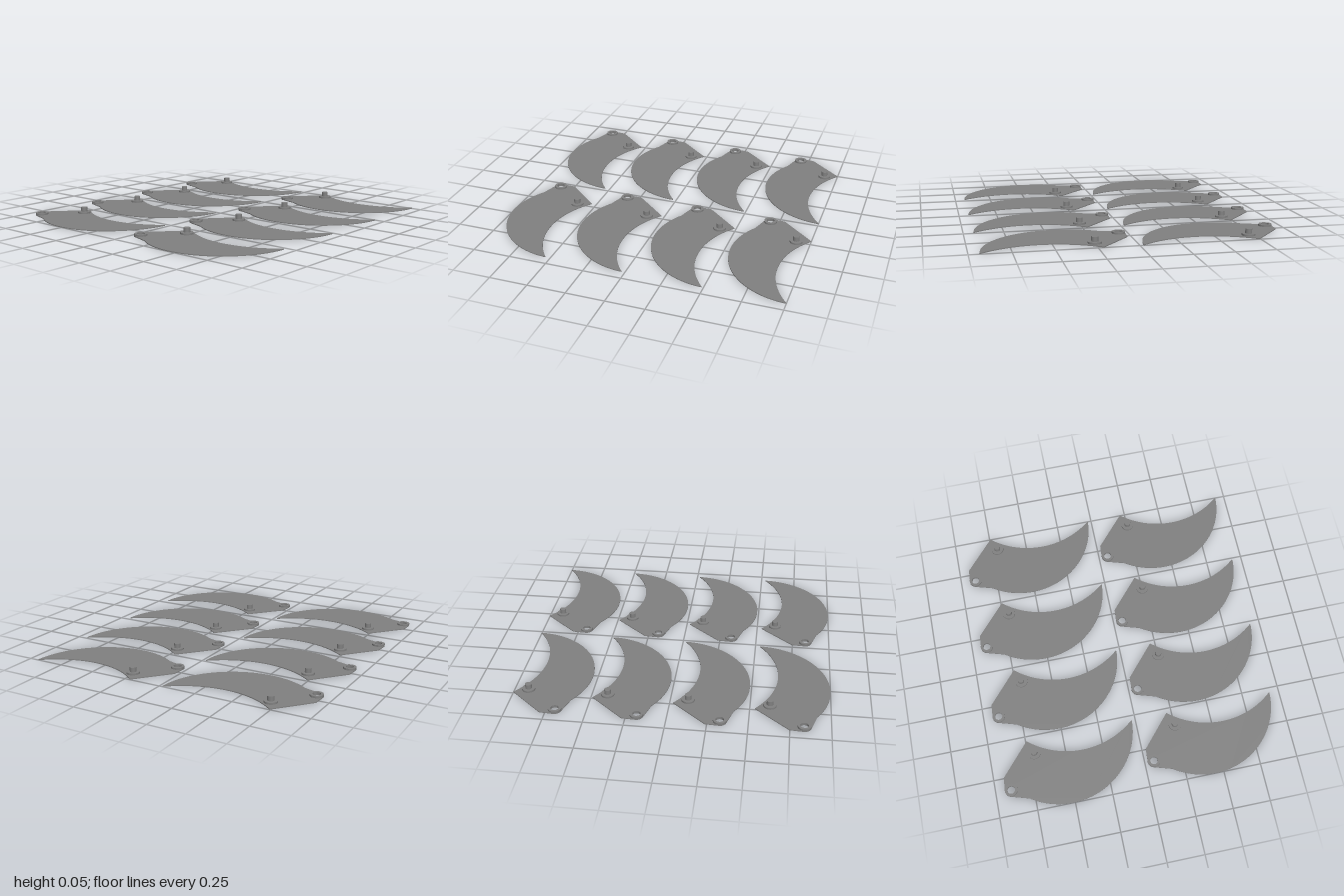
import * as THREE from 'three';
import { toCreasedNormals } from 'three/addons/utils/BufferGeometryUtils.js';

const PLATE = 0.006, RIM_TOP = 0.018, POST_TOP = 0.048;
const EYE = [-0.897, 0.695], PIN = [-0.706, 0.909]; // plan positions (x, -z)
const RIM_R = 0.042, HOLE_R = 0.025, POST_R = 0.021;

// Extrude a plan shape upward from y = 0
function slab(shape, height) {
  const g = new THREE.ExtrudeGeometry(shape, { depth: height, bevelEnabled: false, curveSegments: 40 });
  g.rotateX(-Math.PI / 2);
  return toCreasedNormals(g, 0.5);
}

function hole(x, y, r) {
  return new THREE.Path().absarc(x, y, r, 0, Math.PI * 2, true);
}

// Curved leaf outline with a rounded lug around the pivot eye
function bladeShape() {
  const s = new THREE.Shape();
  s.moveTo(-0.743, 1.0);
  s.lineTo(-0.933, 0.785);
  s.absarc(EYE[0], EYE[1], RIM_R, Math.PI, Math.PI * 1.42, false);
  s.lineTo(-0.785, 0.617);
  s.absarc(-0.511, 1.02, 0.488, Math.atan2(-0.403, -0.274), -0.07, false);
  s.lineTo(-0.025, 0.999);
  s.absarc(-0.384, 1.418, 0.551, Math.atan2(-0.418, 0.359), Math.atan2(-0.418, -0.359), true);
  s.holes.push(hole(...EYE, HOLE_R));
  return s;
}

export function createModel() {
  const model = new THREE.Group();
  model.name = 'shutterBlades';
  const metal = new THREE.MeshStandardMaterial({ color: 0x808080 });
  metal.name = 'grey metal';

  const bladeGeo = slab(bladeShape(), PLATE);
  const ring = new THREE.Shape().absarc(0, 0, RIM_R, 0, Math.PI * 2, false);
  ring.holes.push(hole(0, 0, HOLE_R));
  const ringGeo = slab(ring, RIM_TOP - PLATE);
  const collarGeo = new THREE.CylinderGeometry(RIM_R, RIM_R, RIM_TOP - PLATE, 40);
  const postGeo = new THREE.CylinderGeometry(POST_R, POST_R, POST_TOP - RIM_TOP, 32);

  const add = (parent, name, geo, x, y, z) => {
    const m = new THREE.Mesh(geo, metal);
    m.name = name;
    m.position.set(x, y, z);
    parent.add(m);
  };

  // Two columns of four identical blades
  for (let col = 0; col < 2; col++) {
    for (let row = 0; row < 4; row++) {
      const blade = new THREE.Group();
      blade.name = `blade${col * 4 + row + 1}`;
      blade.position.set(col * 0.959, 0, row * 0.5107);
      add(blade, 'plate', bladeGeo, 0, 0, 0);
      add(blade, 'pivotRing', ringGeo, EYE[0], PLATE, -EYE[1]);
      add(blade, 'pinCollar', collarGeo, PIN[0], (PLATE + RIM_TOP) / 2, -PIN[1]);
      add(blade, 'pinPost', postGeo, PIN[0], (RIM_TOP + POST_TOP) / 2, -PIN[1]);
      model.add(blade);
    }
  }
  return model;
}
